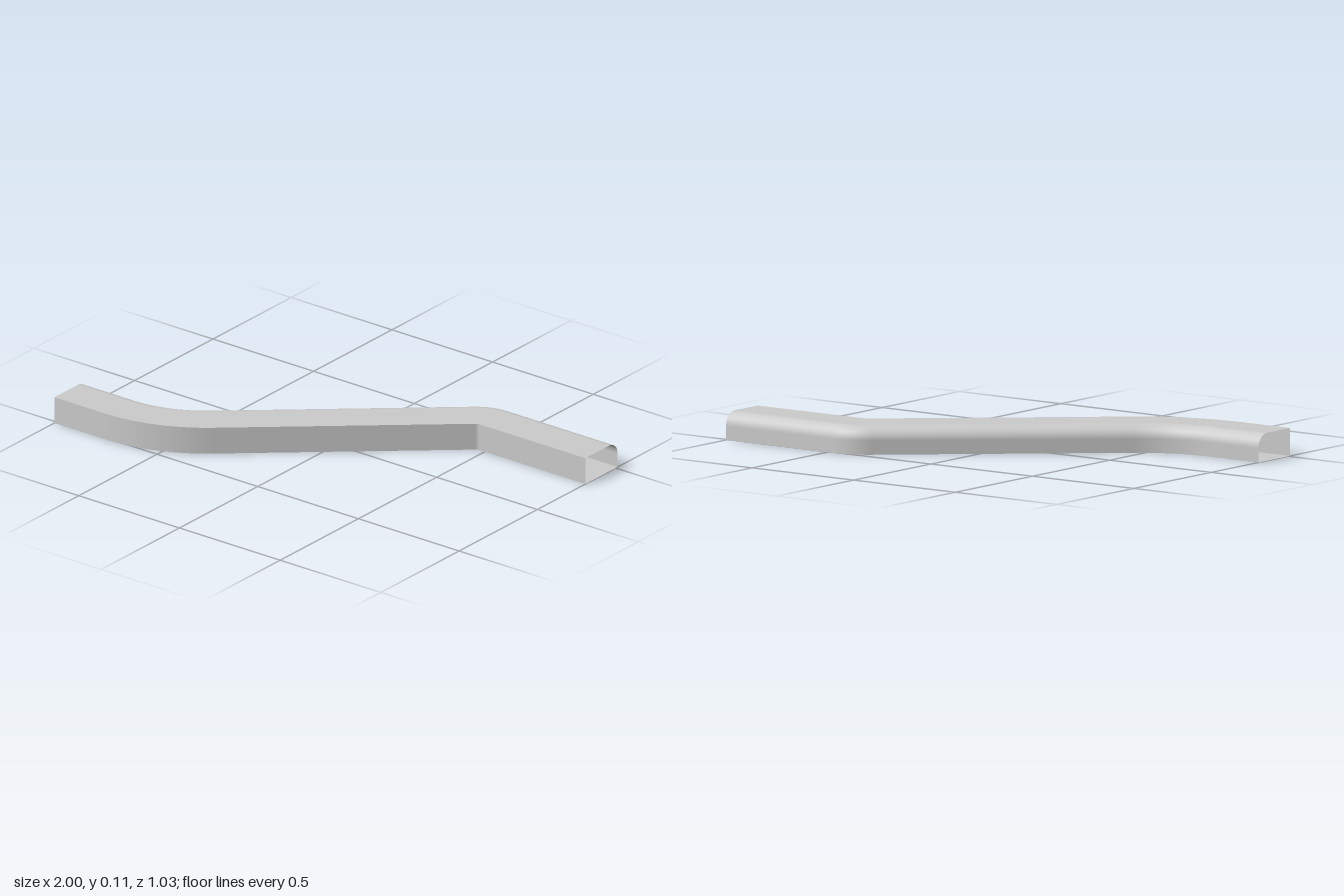
import * as THREE from 'three';

const HALF_WIDTH = 0.103, HEIGHT = 0.111, ROUND = 0.055;
const BEND = THREE.MathUtils.degToRad(40);

// Centre line stations (x, z, heading): straight, wide bend, diagonal, tight bend, straight
function centreLine() {
  const zEnd = 0.41, wide = 0.55, tight = 0.125, bendStart = -0.75;
  const stations = [{ x: -1, z: zEnd, a: 0 }];
  for (let i = 0; i <= 24; i++) {
    const a = (BEND * i) / 24;
    stations.push({ x: bendStart + wide * Math.sin(a), z: zEnd - wide * (1 - Math.cos(a)), a });
  }
  const drop = 2 * zEnd - (wide + tight) * (1 - Math.cos(BEND));
  const bendEnd = bendStart + (wide + tight) * Math.sin(BEND) + drop / Math.tan(BEND);
  for (let i = 24; i >= 0; i--) {
    const a = (BEND * i) / 24;
    stations.push({ x: bendEnd - tight * Math.sin(a), z: -zEnd + tight * (1 - Math.cos(a)), a });
  }
  stations.push({ x: 1, z: -zEnd, a: 0 });
  return stations;
}

// Sweeps a chain of section points [offset to back, y, normal offset, normal y] along the line
function sweep(name, chain, stations, material) {
  const pos = [], nor = [], idx = [], n = chain.length;
  stations.forEach(({ x, z, a }, i) => {
    const bx = -Math.sin(a), bz = -Math.cos(a);
    chain.forEach(([s, y, ns, ny], j) => {
      pos.push(x + bx * s, y, z + bz * s);
      nor.push(bx * ns, ny, bz * ns);
      if (i < stations.length - 1 && j < n - 1) {
        const p = i * n + j;
        idx.push(p, p + 1, p + n, p + 1, p + n + 1, p + n);
      }
    });
  });
  const geometry = new THREE.BufferGeometry();
  geometry.setAttribute('position', new THREE.Float32BufferAttribute(pos, 3));
  geometry.setAttribute('normal', new THREE.Float32BufferAttribute(nor, 3));
  geometry.setIndex(idx);
  const mesh = new THREE.Mesh(geometry, material);
  mesh.name = name;
  return mesh;
}

export function createModel() {
  const group = new THREE.Group();
  group.name = 'bentDuct';
  const material = new THREE.MeshStandardMaterial({ color: 0xcccccc, side: THREE.DoubleSide });
  const stations = centreLine();
  const w = HALF_WIDTH, h = HEIGHT;

  // Back wall, rounded upper edge and top as one smooth skin
  const shell = [[w, 0, 1, 0]];
  for (let i = 0; i <= 12; i++) {
    const t = (Math.PI / 2) * (i / 12), c = Math.cos(t), s = Math.sin(t);
    shell.push([w - ROUND + ROUND * c, h - ROUND + ROUND * s, c, s]);
  }
  shell.push([-w, h, 0, 1]);

  // Open-ended duct
  group.add(
    sweep('backAndTop', shell, stations, material),
    sweep('frontWall', [[-w, h, -1, 0], [-w, 0, -1, 0]], stations, material),
    sweep('floor', [[-w, 0, 0, -1], [w, 0, 0, -1]], stations, material)
  );
  return group;
}
